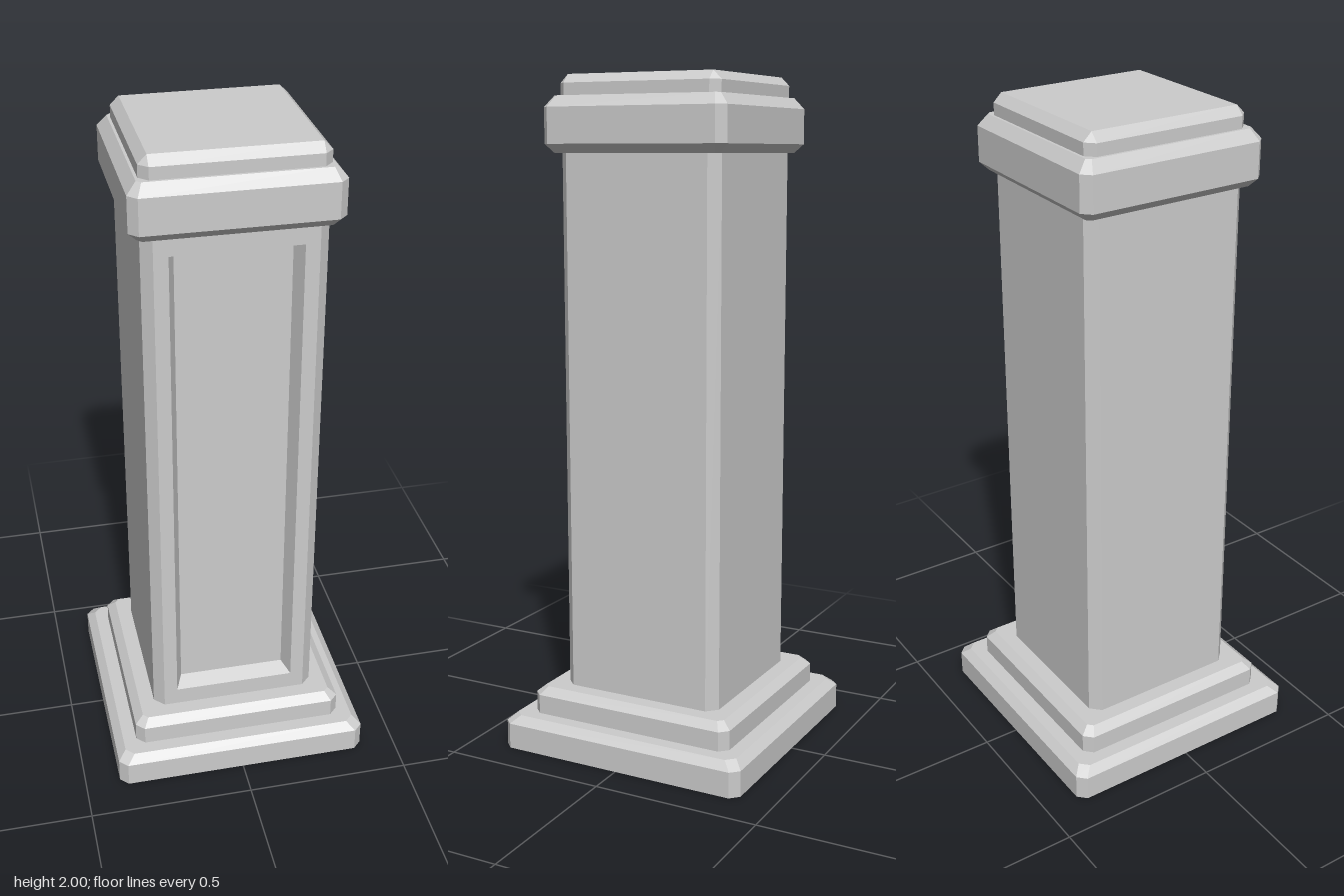
import * as THREE from 'three';

const material = new THREE.MeshStandardMaterial({ color: 0xcccccc, flatShading: true });

// Skin a series of equal-length loops; optional end caps and one skipped side.
function loft(name, loops, { start = true, end = true, skip = -1 } = {}) {
  const pos = [];
  const tri = (a, b, c) => pos.push(...a, ...b, ...c);
  const n = loops[0].length;
  for (let k = 0; k + 1 < loops.length; k++) {
    for (let i = 0; i < n; i++) {
      if (i === skip) continue;
      const j = (i + 1) % n;
      tri(loops[k][i], loops[k][j], loops[k + 1][j]);
      tri(loops[k][i], loops[k + 1][j], loops[k + 1][i]);
    }
  }
  const first = loops[0], last = loops[loops.length - 1];
  for (let i = 1; i + 1 < n; i++) {
    if (start) tri(first[0], first[i + 1], first[i]);
    if (end) tri(last[0], last[i], last[i + 1]);
  }
  const geometry = new THREE.BufferGeometry();
  geometry.setAttribute('position', new THREE.Float32BufferAttribute(pos, 3));
  geometry.computeVertexNormals();
  const mesh = new THREE.Mesh(geometry, material);
  mesh.name = name;
  return mesh;
}

// Horizontal square of half width h with corners cut by c; side 0 faces +z.
function square(y, h, c) {
  const s = h - c;
  return [[-s, h], [s, h], [h, s], [h, -s], [s, -h], [-s, -h], [-h, -s], [-h, s]]
    .map(([x, z]) => [x, y, z]);
}

// Upright rectangle facing +z.
const rect = (w, bottom, top, z) =>
  [[-w, bottom, z], [w, bottom, z], [w, top, z], [-w, top, z]];

export function createModel() {
  const group = new THREE.Group();
  const cut = 0.025;

  // Stepped base
  group.add(loft('plinth', [
    square(0, 0.393, cut), square(0.077, 0.393, cut), square(0.1, 0.368, cut)]));
  group.add(loft('baseStep', [
    square(0.1, 0.327, cut), square(0.158, 0.327, cut), square(0.18, 0.301, 0.015)]));

  // Shaft, with its front side replaced by a sunken panel
  const bottom = 0.18, top = 1.78, half = 0.255, corner = 0.03;
  group.add(loft('shaft', [square(bottom, half, corner), square(top, half, corner)], { skip: 0 }));
  group.add(loft('frontPanel', [
    rect(half - corner, bottom, top, half),
    rect(0.184, 0.235, 1.727, half),
    rect(0.163, 0.256, 1.706, half - 0.045)], { start: false }));

  // Capital and top slab
  group.add(loft('capital', [
    square(1.78, 0.265, 0.012), square(1.805, 0.29, cut),
    square(1.908, 0.29, cut), square(1.94, 0.263, 0.012)]));
  group.add(loft('topSlab', [
    square(1.94, half, cut), square(1.975, half, cut), square(2, half - cut, 0)]));
  return group;
}
